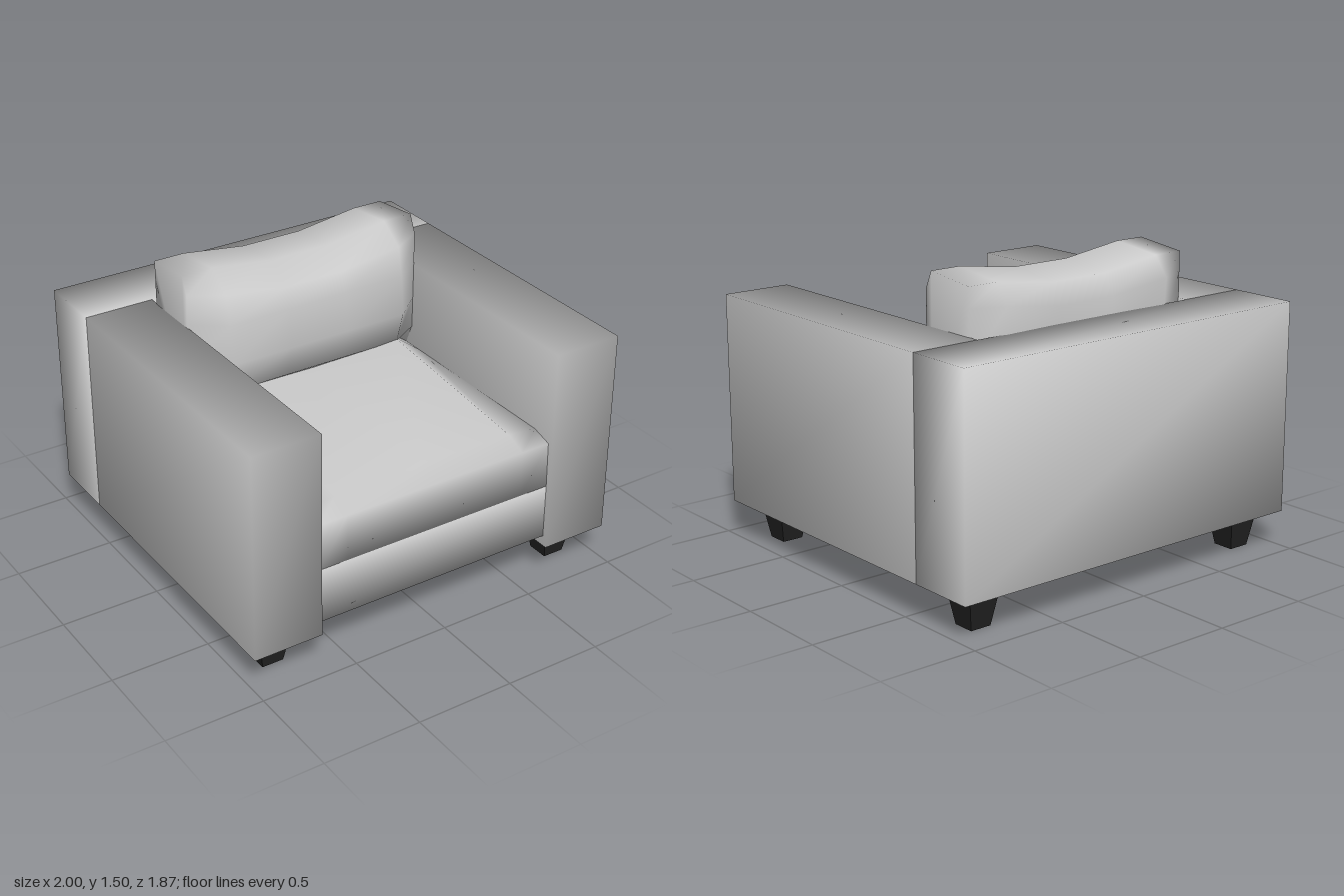
import * as THREE from 'three';
import { mergeVertices } from 'three/addons/utils/BufferGeometryUtils.js';

const fabric = new THREE.MeshStandardMaterial({ color: 0xcccccc, side: THREE.DoubleSide });
const legMaterial = new THREE.MeshStandardMaterial({ color: 0x222222, flatShading: true });

// Box given by its limits, with normals shared across corners for a soft upholstered look
function softBox(name, [x0, x1], [y0, y1], [z0, z1]) {
  let geo = new THREE.BoxGeometry(x1 - x0, y1 - y0, z1 - z0);
  geo.translate((x0 + x1) / 2, (y0 + y1) / 2, (z0 + z1) / 2);
  geo.deleteAttribute('normal');
  geo.deleteAttribute('uv');
  geo = mergeVertices(geo);
  geo.computeVertexNormals();
  const mesh = new THREE.Mesh(geo, fabric);
  mesh.name = name;
  return mesh;
}

// Skin closed [z, y] sections (front, up, back, down) placed along x, with end caps
function loft(name, xs, sections) {
  const n = sections[0].length, positions = [], index = [];
  sections.forEach((section, i) => section.forEach(([z, y]) => positions.push(xs[i], y, z)));
  for (let i = 0; i < xs.length - 1; i++) {
    for (let j = 0; j < n; j++) {
      const k = (j + 1) % n;
      const a = i * n + j, b = i * n + k, c = b + n, d = a + n;
      index.push(a, d, c, a, c, b);
    }
  }
  const last = (xs.length - 1) * n;
  for (let j = 1; j < n - 1; j++) {
    index.push(0, j, j + 1, last, last + j + 1, last + j);
  }
  const geo = new THREE.BufferGeometry();
  geo.setAttribute('position', new THREE.Float32BufferAttribute(positions, 3));
  geo.setIndex(index);
  geo.computeVertexNormals();
  const mesh = new THREE.Mesh(geo, fabric);
  mesh.name = name;
  return mesh;
}

export function createModel() {
  const model = new THREE.Group();
  model.name = 'armchair';

  // Back, arms and recessed base
  model.add(
    softBox('backFrame', [-1, 1], [0.18, 1.24], [-0.935, -0.585]),
    softBox('leftArm', [0.645, 1], [0.18, 1.24], [-0.585, 0.935]),
    softBox('rightArm', [-1, -0.645], [0.18, 1.24], [-0.585, 0.935]),
    softBox('base', [-0.645, 0.645], [0.235, 0.52], [-0.585, 0.91])
  );

  // Seat cushion, crowned towards the back
  const seatSection = (front, crown) => [
    [0.91, 0.52], [0.905, 0.755], [0.8, front], [-0.15, crown], [-0.585, 0.785], [-0.585, 0.52],
  ];
  const seatEdge = seatSection(0.785, 0.785);
  const seatShoulder = seatSection(0.80, 0.9);
  model.add(loft('seatCushion', [-0.645, -0.49, 0, 0.49, 0.645],
    [seatEdge, seatShoulder, seatSection(0.81, 0.865), seatShoulder, seatEdge]));

  // Plump back pillow with pinched ends and a sagging top
  const pillowFull = [
    [-0.26, 0.79], [-0.13, 0.89], [-0.08, 1.06], [-0.1, 1.26], [-0.13, 1.41], [-0.26, 1.5],
    [-0.53, 1.47], [-0.605, 1.37], [-0.585, 1.1], [-0.56, 0.9], [-0.5, 0.79],
  ];
  const pillowEnd = pillowFull.map(([z, y]) => [THREE.MathUtils.clamp(z, -0.53, -0.22), y]);
  const pillowMiddle = pillowFull.map(([z, y]) => [z > -0.58 ? z : z + 0.015, y > 1.3 ? y - 0.045 : y]);
  model.add(loft('backPillow', [-0.65, -0.49, -0.16, 0.16, 0.49, 0.65],
    [pillowEnd, pillowFull, pillowMiddle, pillowMiddle, pillowFull, pillowEnd]));

  // Tapered square legs
  const legGeo = new THREE.CylinderGeometry(0.086 * Math.SQRT2, 0.055 * Math.SQRT2, 0.18, 4);
  legGeo.rotateY(Math.PI / 4);
  for (const [side, x] of [['Left', 0.822], ['Right', -0.822]]) {
    for (const [end, z] of [['front', 0.735], ['back', -0.765]]) {
      const leg = new THREE.Mesh(legGeo, legMaterial);
      leg.name = `${end}${side}Leg`;
      leg.position.set(x, 0.09, z);
      model.add(leg);
    }
  }
  return model;
}
